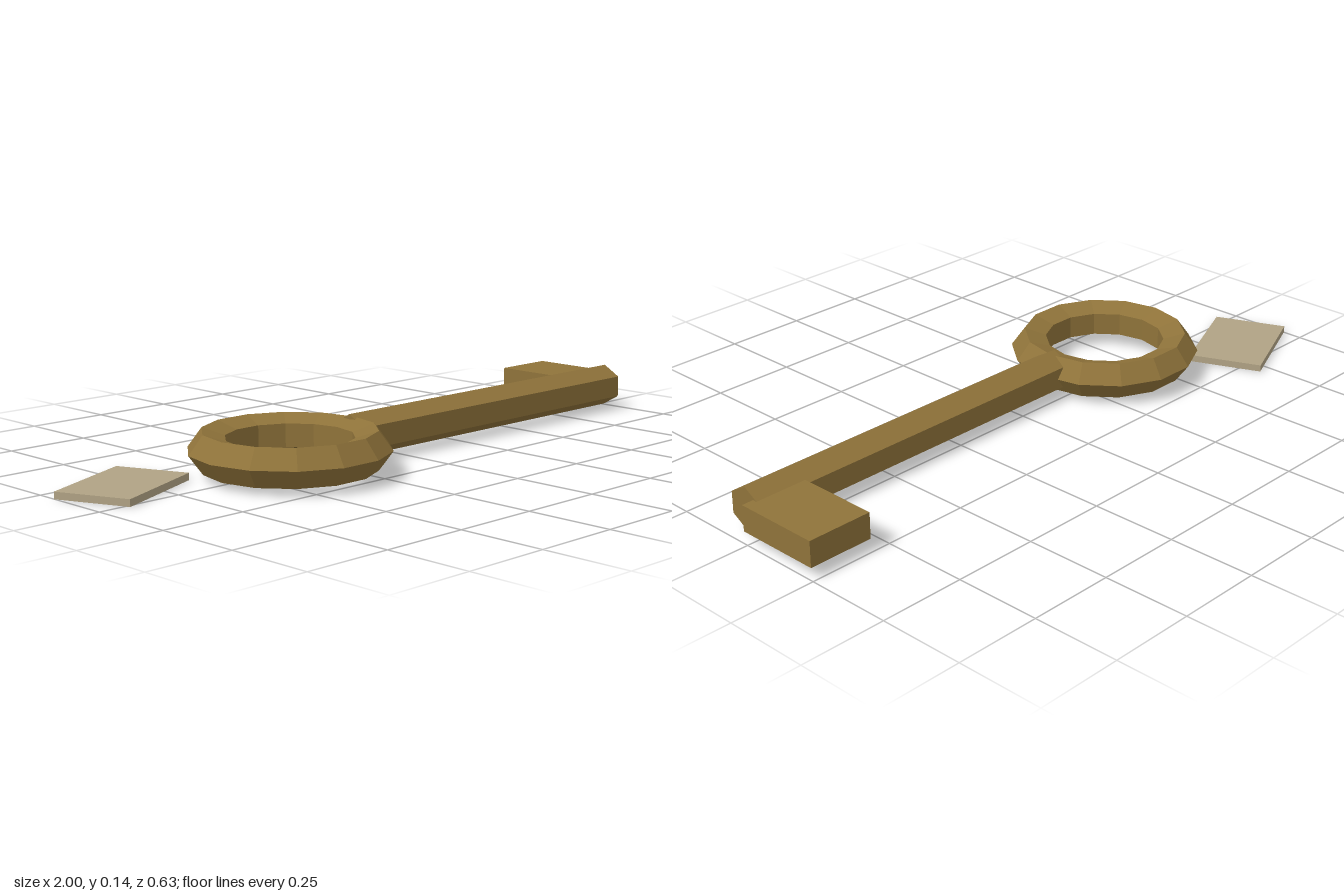
import * as THREE from 'three';

export function createModel() {
  const model = new THREE.Group();
  model.name = 'key';

  const brass = new THREE.MeshStandardMaterial({ color: 0x8f733a, flatShading: true });
  brass.name = 'aged brass';
  const tan = new THREE.MeshStandardMaterial({ color: 0xb0a284, flatShading: true });
  tan.name = 'pale tan';

  const add = (name, geometry, material, x, y, z) => {
    const mesh = new THREE.Mesh(geometry, material);
    mesh.name = name;
    mesh.position.set(x, y, z);
    model.add(mesh);
    return mesh;
  };

  const midY = 0.0735;
  const axisZ = 0.042;

  // Bow: faceted ring lying flat, with a five-sided section
  add('bow', new THREE.TorusGeometry(0.222, 0.0567, 5, 14).rotateX(-Math.PI / 2),
    brass, -0.4, midY, axisZ);

  // Shaft: hexagonal bar along x with a ridge on top
  add('shaft', new THREE.CylinderGeometry(0.063, 0.063, 1.143, 6).rotateZ(Math.PI / 2).rotateX(Math.PI / 6),
    brass, 0.3935, midY, axisZ);

  // Bit: block reaching back from the far end
  add('bit', new THREE.BoxGeometry(0.193, 0.075, 0.256), brass, 0.9035, midY, -0.117);

  // Tag: thin turned plate beside the bow
  const tag = add('tag', new THREE.BoxGeometry(0.315, 0.02, 0.22), tan, -0.813, 0.01, -0.149);
  tag.rotation.y = THREE.MathUtils.degToRad(23);

  return model;
}
